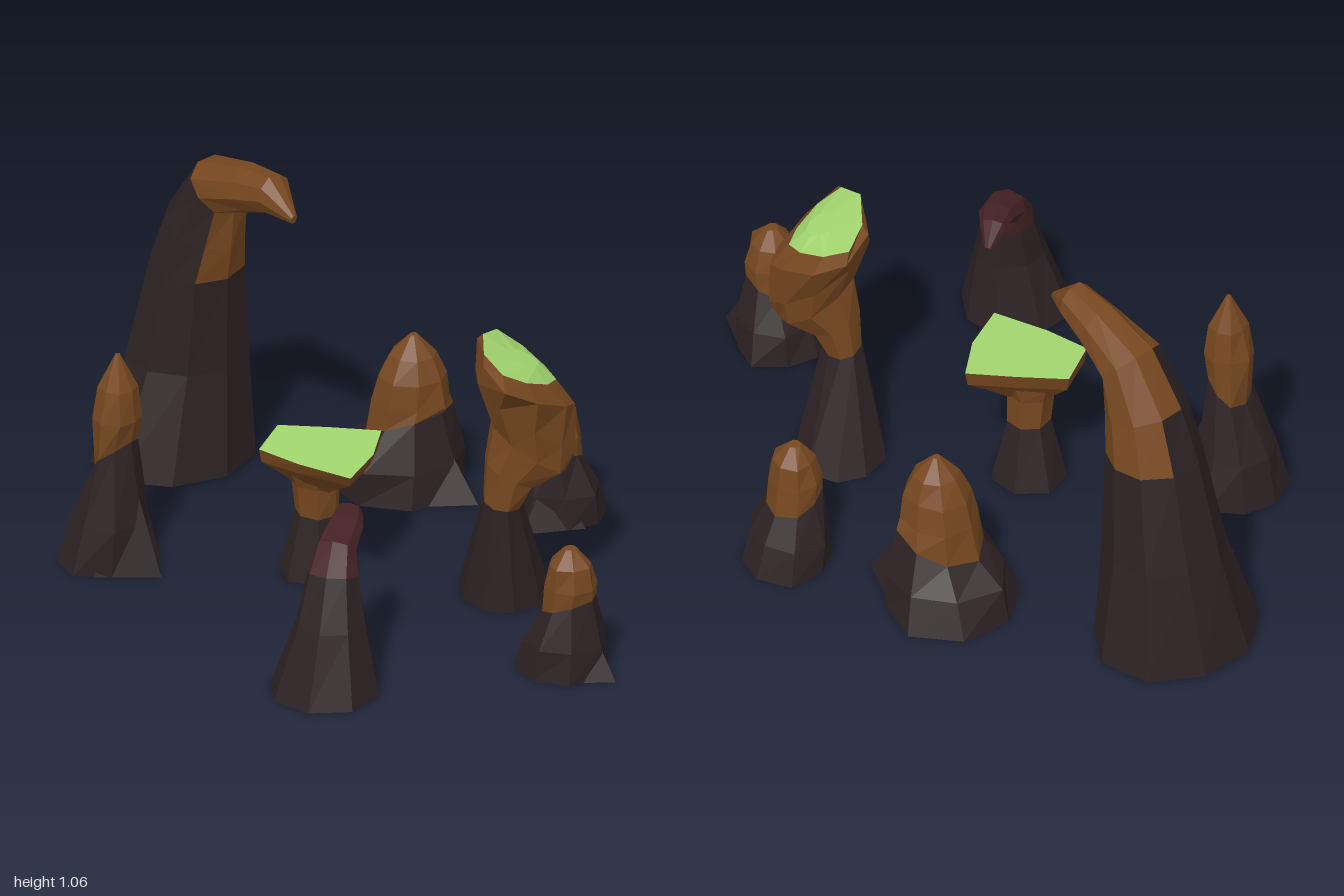
import * as THREE from 'three';

const mat = (name, color) => {
  const m = new THREE.MeshStandardMaterial({ color, side: THREE.DoubleSide });
  m.name = name;
  return m;
};
// Rocks are open underneath, hence double sided
const materials = {
  dark: mat('dark stone', 0x2d2223),
  brown: mat('brown stone', 0x774820),
  green: mat('moss green', 0xa3d66f),
  maroon: mat('maroon stone', 0x452224),
};

// Repeatable wobble in -1..1
const wobble = (a, b, c) => {
  const v = Math.sin(a * 12.99 + b * 78.23 + c * 37.72) * 43758.55;
  return (v - Math.floor(v)) * 2 - 1;
};

// Unit outline as [side, heading] pairs, starting at the heading
const circle = (n) => Array.from({ length: n }, (_, i) => {
  const a = Math.PI / 2 + (i / n) * Math.PI * 2;
  return [Math.cos(a), Math.sin(a)];
});

// Faceted rock lofted through rings: [x, y, z, sideRadius, headingRadius, tiltDegrees, colourAbove, taper]
// Rings tilt towards the heading; the colour may be a function of the side's direction.
function rock(name, rings, { heading = [0, 1], outline = circle(8), seed = 1, rough = 0.06 } = {}) {
  const h = new THREE.Vector3(heading[0], 0, heading[1]).normalize();
  const s = new THREE.Vector3(-h.z, 0, h.x);
  const up = new THREE.Vector3(0, 1, 0);
  const last = rings.length - 1;
  const loops = rings.map(([x, y, z, ra, rb, tilt, , taper = 0], k) => {
    const t = THREE.MathUtils.degToRad(tilt);
    const u = h.clone().multiplyScalar(Math.cos(t)).addScaledVector(up, -Math.sin(t));
    return outline.map(([c, d], i) => {
      const w = 1 + rough * wobble(seed, k, i);
      const p = new THREE.Vector3(x, y, z)
        .addScaledVector(s, c * ra * w * (1 - taper * d))
        .addScaledVector(u, d * rb * w);
      if (k > 0 && k < last) p.y += rough * 0.3 * ra * wobble(seed + 5, k, i);
      return p;
    });
  });

  const faces = {};
  const tri = (colour, ...pts) => (faces[colour] ??= []).push(...pts.flatMap((p) => p.toArray()));
  const top = new THREE.Vector3(...rings[last].slice(0, 3));
  outline.forEach(([c0, d0], i) => {
    const j = (i + 1) % outline.length;
    const [c1, d1] = outline[j];
    const length = Math.hypot(c0 + c1, d0 + d1);
    const pick = (c) => (typeof c === 'function' ? c((c0 + c1) / length, (d0 + d1) / length) : c);
    for (let k = 0; k < last; k++) {
      const [a, b, c, d] = [loops[k][i], loops[k][j], loops[k + 1][j], loops[k + 1][i]];
      const colour = pick(rings[k][6]);
      tri(colour, a, b, c);
      tri(colour, a, c, d);
    }
    tri(pick(rings[last][6]), top, loops[last][i], loops[last][j]);
  });

  const group = new THREE.Group();
  group.name = name;
  for (const [colour, pos] of Object.entries(faces)) {
    const g = new THREE.BufferGeometry();
    g.setAttribute('position', new THREE.Float32BufferAttribute(pos, 3));
    g.computeVertexNormals();
    const mesh = new THREE.Mesh(g, materials[colour]);
    mesh.name = `${name} ${colour}`;
    group.add(mesh);
  }
  return group;
}

// Upright stump with a pointed top and a broad wedge leaning on its foot
// Profile: [y, radius, colourAbove, tilt]
function stump(name, [x, z], [topX, topZ], profile, corner, wedgeHeight, seed) {
  const group = new THREE.Group();
  group.name = name;
  const height = profile[profile.length - 1][0];
  const h = new THREE.Vector2(corner[0] - x, corner[1] - z).normalize();
  const heading = [h.x, h.y];
  const rings = profile.map(([y, r, colour, tilt = 0]) => {
    const t = Math.min(1, (y / height) * 1.5);
    return [x + (topX - x) * t, y, z + (topZ - z) * t, r, r, tilt, colour];
  });
  group.add(rock(`${name} body`, rings, { heading, seed, rough: 0.1 }));

  const r = profile[0][1];
  const w = r * 0.7;
  group.add(rock(`${name} wedge`, [
    [corner[0] - h.x * w, 0, corner[1] - h.y * w, r, w, 0, 'dark'],
    [x + h.x * r * 0.6, wedgeHeight, z + h.y * r * 0.6, 0.012, 0.012, 0, 'dark'],
  ], { heading, outline: circle(3), rough: 0 }));
  return group;
}

export function createModel() {
  const model = new THREE.Group();
  model.name = 'rockFormation';

  // Tall curved pillar with a beak-like tip
  const lowerPatch = (c, s) => ((c < 0.5 && s > 0) || c < -0.5 ? 'brown' : 'dark');
  const upperPatch = (c) => (c > 0.55 ? 'dark' : 'brown');
  model.add(rock('tallPillar', [
    [-0.455, 0.01, -0.77, 0.265, 0.235, 0, 'dark'],
    [-0.42, 0.34, -0.77, 0.185, 0.18, 0, 'dark'],
    [-0.395, 0.65, -0.735, 0.15, 0.14, 3, lowerPatch],
    [-0.37, 0.79, -0.705, 0.125, 0.125, 20, upperPatch],
    [-0.325, 0.935, -0.66, 0.1, 0.092, 48, 'brown'],
    [-0.24, 0.98, -0.54, 0.078, 0.075, 74, 'brown'],
    [-0.175, 1.005, -0.45, 0.06, 0.062, 92, 'brown'],
    [-0.12, 0.96, -0.36, 0.012, 0.014, 100, 'brown'],
  ], { heading: [0.34, 0.41], outline: circle(9), seed: 3, rough: 0.04 }));

  // Hooked maroon horn at the front
  model.add(rock('frontHorn', [
    [-0.08, 0, 0.835, 0.165, 0.165, 0, 'dark'],
    [-0.065, 0.22, 0.825, 0.108, 0.108, 0, 'dark'],
    [-0.055, 0.36, 0.795, 0.078, 0.078, 15, 'maroon'],
    [-0.045, 0.425, 0.755, 0.062, 0.055, 45, 'maroon'],
    [-0.015, 0.462, 0.675, 0.056, 0.032, 75, 'maroon'],
    [0.0, 0.472, 0.605, 0.042, 0.026, 98, 'maroon'],
    [0.02, 0.445, 0.53, 0.01, 0.008, 110, 'maroon'],
  ], { heading: [0.12, -0.32], seed: 7, rough: 0.05 }));

  // Low mushroom in the centre: round stem, kite-shaped mossy cap
  model.add(rock('centreStem', [
    [-0.07, 0, 0.03, 0.115, 0.115, 0, 'dark'],
    [-0.07, 0.2, 0.035, 0.068, 0.068, 0, 'brown'],
    [-0.075, 0.3, 0.04, 0.075, 0.075, 0, 'brown'],
    [-0.07, 0.35, 0.045, 0.1, 0.09, 0, 'brown'],
  ], { outline: circle(7), seed: 4 }));
  const kite = [
    [-0.44, 1.17], [-0.83, 0.33], [-1, -0.5], [-0.17, -0.67], [0.67, -0.78], [1, 0.06], [0.39, 0.6],
  ];
  model.add(rock('centreCap', [
    [-0.07, 0.3, 0.045, 0.07, 0.07, 0, 'brown'],
    [-0.065, 0.34, 0.05, 0.125, 0.115, 0, 'brown'],
    [-0.06, 0.375, 0.055, 0.172, 0.155, 0, 'brown'],
    [-0.06, 0.42, 0.06, 0.18, 0.18, 2, 'green'],
  ], { outline: kite, rough: 0.02 }));

  // Leaning mossy head on a stalk at the left
  model.add(rock('leaningMushroom', [
    [0.475, 0, 0.18, 0.175, 0.135, 0, 'dark'],
    [0.468, 0.33, 0.26, 0.085, 0.06, 8, 'brown'],
    [0.49, 0.43, 0.268, 0.09, 0.085, 28, 'brown'],
    [0.545, 0.51, 0.268, 0.1, 0.14, 36, 'brown'],
    [0.53, 0.62, 0.262, 0.115, 0.192, 40, 'brown', 0.2],
    [0.54, 0.725, 0.252, 0.17, 0.17, 31, 'brown', 0.6],
    [0.515, 0.775, 0.245, 0.145, 0.125, 29, 'green', 0.45],
    [0.53, 0.785, 0.245, 0.05, 0.05, 24, 'green'],
  ], { heading: [1, 0], outline: circle(9), seed: 9, rough: 0.05 }));

  // Plain stumps around the edge
  model.add(stump('backStump', [0.2, -0.56], [0.24, -0.52], [
    [0, 0.205, 'dark'], [0.11, 0.195, 'dark'], [0.225, 0.135, 'brown', -20],
    [0.29, 0.112, 'brown'], [0.37, 0.102, 'brown'], [0.44, 0.07, 'brown'], [0.5, 0.012, 'brown'],
  ], [0.425, -0.385], 0.22, 11));
  const smallProfile = [
    [0, 0.14, 'dark'], [0.1, 0.125, 'dark'], [0.215, 0.087, 'brown', -20],
    [0.28, 0.082, 'brown'], [0.35, 0.066, 'brown'], [0.4, 0.02, 'brown'],
  ];
  model.add(stump('leftBackStump', [0.675, -0.33], [0.645, -0.305], smallProfile, [0.545, -0.18], 0.18, 13));
  model.add(stump('leftFrontStump', [0.62, 0.7], [0.645, 0.735], smallProfile, [0.775, 0.825], 0.18, 17));
  model.add(stump('rightSpire', [-0.685, -0.08], [-0.655, -0.045], [
    [0, 0.145, 'dark'], [0.15, 0.115, 'dark'], [0.36, 0.074, 'brown', -40],
    [0.48, 0.072, 'brown'], [0.58, 0.058, 'brown'], [0.685, 0.008, 'brown'],
  ], [-0.53, 0.06], 0.3, 19));

  return model;
}
